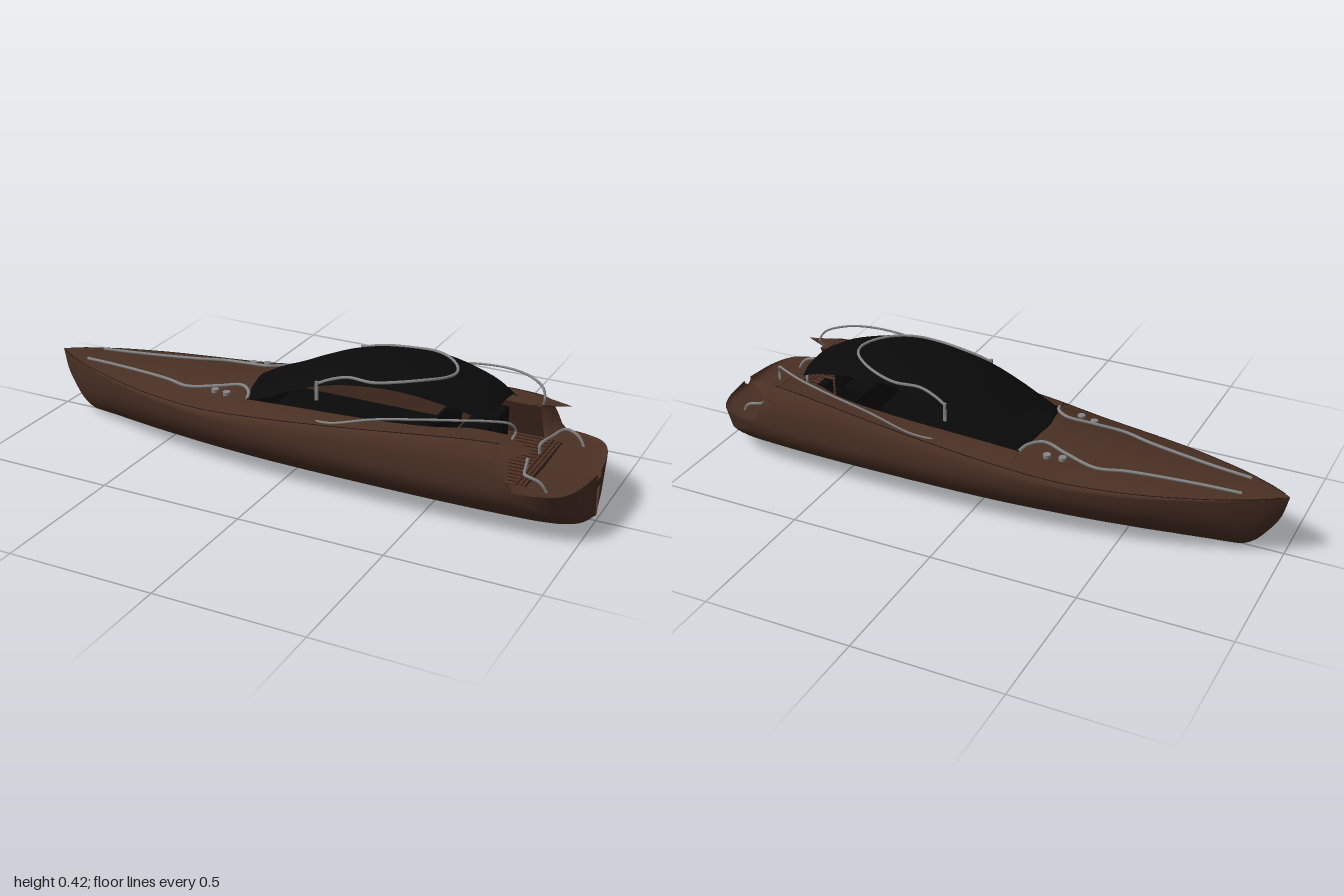
import * as THREE from 'three';
import { ConvexGeometry } from 'three/addons/geometries/ConvexGeometry.js';

const V = (x, y, z) => new THREE.Vector3(x, y, z);

// Smooth interpolation through [x, value] pairs
function table(...p) {
  return (x) => {
    if (x <= p[0][0]) return p[0][1];
    if (x >= p[p.length - 1][0]) return p[p.length - 1][1];
    let i = 0;
    while (x > p[i + 1][0]) i++;
    const slope = (j) => {
      const a = p[Math.max(j - 1, 0)], b = p[Math.min(j + 1, p.length - 1)];
      return (b[1] - a[1]) / (b[0] - a[0]);
    };
    const w = p[i + 1][0] - p[i][0], t = (x - p[i][0]) / w, t2 = t * t, t3 = t2 * t;
    return p[i][1] * (2 * t3 - 3 * t2 + 1) + p[i + 1][1] * (3 * t2 - 2 * t3)
      + w * (slope(i) * (t3 - 2 * t2 + t) + slope(i + 1) * (t3 - t2));
  };
}

// Hull lines along x (bow at -1, stern at +1)
const beam = table([-1, 0], [-0.95, 0.035], [-0.9, 0.063], [-0.8, 0.11], [-0.6, 0.178], [-0.4, 0.222], [-0.2, 0.25],
  [0, 0.265], [0.3, 0.27], [0.6, 0.267], [0.8, 0.257], [0.885, 0.245], [0.95, 0.21], [0.985, 0.13], [1, 0.02]);
const keel = table([-1, 0.205], [-0.98, 0.13], [-0.94, 0.065], [-0.9, 0.02], [-0.85, 0], [0.97, 0], [1, 0.015]);
const widest = table([-1, 0.205], [-0.5, 0.185], [0, 0.175], [0.5, 0.165], [1, 0.165]);
const sheer = table([-1, 0.206], [-0.7, 0.2], [-0.5, 0.197], [-0.3, 0.201], [-0.1, 0.22], [0.1, 0.24], [0.3, 0.26], [0.5, 0.28], [0.65, 0.29], [0.8, 0.289]);
const edgeRatio = table([-1, 0.97], [0, 0.92], [0.5, 0.85], [0.76, 0.76]);
const cut = table([0.74, 0.3], [0.77, 0.235], [0.8, 0.165], [0.84, 0.13], [0.88, 0.108], [0.92, 0.09], [0.96, 0.075], [0.985, 0.055], [1, 0.03]);
const crown = table([-1, 0.206], [-0.8, 0.213], [-0.6, 0.222], [-0.4, 0.238], [-0.18, 0.262], [-0.1, 0.268]);
const sideTop = table([-0.2, 0.24], [0, 0.25], [0.3, 0.264], [0.6, 0.285], [0.8, 0.286]);
const opening = table([-0.2, 0.165], [0.4, 0.165], [0.52, 0.155], [0.62, 0.125], [0.8, 0.12]);
const roofLine = table([-0.185, 0.262], [-0.1, 0.29], [0, 0.335], [0.1, 0.375], [0.2, 0.4], [0.3, 0.412], [0.37, 0.415],
  [0.45, 0.41], [0.55, 0.39], [0.62, 0.37], [0.68, 0.34]);
const roofHalf = table([-0.185, 0.08], [-0.17, 0.125], [-0.14, 0.16], [-0.05, 0.173], [0.1, 0.176], [0.4, 0.172],
  [0.5, 0.163], [0.6, 0.145], [0.68, 0.12]);

const edge = (x) => beam(x) * edgeRatio(x);
const deckY = (x, z) => sheer(x) + (crown(x) - sheer(x)) * Math.sin((1 - Math.min(z / edge(x), 1)) * Math.PI / 2);
function roofY(x, z) {
  const u = Math.min(Math.abs(z) / roofHalf(x), 1);
  return roofLine(x) - 0.02 * u * u - 0.014 * u ** 8;
}

// Half of a hull section, keel to deck edge, trimmed by the stern cut
function hullSection(x) {
  const W = beam(x), k = keel(x), w = widest(x), s = sheer(x), e = edge(x), h = cut(x), pts = [];
  const a = h < w ? Math.acos((w - h) / (w - k)) : Math.PI / 2;
  const b = h < w ? 0 : Math.asin(Math.min(1, (h - w) / Math.max(s - w, 1e-5)));
  for (let i = 0; i <= 14; i++) pts.push(V(x, w - (w - k) * Math.cos(a * i / 14), W * Math.sin(a * i / 14)));
  for (let i = 1; i <= 6; i++) {
    const t = b * i / 6;
    pts.push(V(x, w + (s - w) * Math.sin(t), e + (W - e) * Math.cos(t)));
  }
  return pts;
}

// Skin over rows of points
function loft(rows) {
  const n = rows[0].length, index = [];
  for (let i = 0; i < rows.length - 1; i++) for (let j = 0; j < n - 1; j++) {
    const a = i * n + j, b = a + n;
    index.push(a, b, a + 1, a + 1, b, b + 1);
  }
  const g = new THREE.BufferGeometry().setFromPoints(rows.flat());
  g.setIndex(index);
  g.computeVertexNormals();
  return g;
}
const span = (a, b, n) => Array.from({ length: n + 1 }, (_, i) => a + (b - a) * i / n);

export function createModel() {
  const model = new THREE.Group();
  const material = (name, color) => Object.assign(new THREE.MeshStandardMaterial({ color, side: THREE.DoubleSide }), { name });
  const brown = material('hull brown', 0x4a3024);
  const teak = material('deck teak', 0x4e3023);
  const seam = material('seam dark brown', 0x21150f);
  const black = material('canopy black', 0x0a0a0a);
  const metal = material('rail grey', 0x858585);

  const add = (name, geo, mat) => {
    const m = new THREE.Mesh(geo, mat);
    m.name = name;
    model.add(m);
    return m;
  };
  const box = (name, mat, x0, x1, y0, y1, z0, z1) =>
    add(name, new THREE.BoxGeometry(x1 - x0, y1 - y0, z1 - z0).translate((x0 + x1) / 2, (y0 + y1) / 2, (z0 + z1) / 2), mat);
  // The same rows on both sides of the boat
  const pair = (name, rows, mat) => [1, -1].forEach((s) =>
    add(name, loft(rows.map((r) => r.map((p) => V(p.x, p.y, p.z * s)))), mat));
  const tubePair = (name, pts, r, mat) => [1, -1].forEach((s) => add(name,
    new THREE.TubeGeometry(new THREE.CatmullRomCurve3(pts.map((p) => V(p.x, p.y, p.z * s))), 64, r, 6), mat));

  // Hull
  pair('hull', span(0, 1, 110).map((u) => hullSection(-Math.cos(Math.PI * u))), brown);

  // Foredeck, side decks and inner walls
  const steps = span(0, 1, 10);
  pair('foredeck', span(-1, -0.15, 40).map((x) => steps.map((t) => {
    const z = edge(x) * (1 - t);
    return V(x, z > 0 ? deckY(x, z) : crown(x), z);
  })), brown);
  const sideX = span(-0.15, 0.76, 40);
  pair('sideDeck', sideX.map((x) => steps.map((t) => V(x, sheer(x) + (sideTop(x) - sheer(x)) * Math.sin(t * Math.PI / 2),
    edge(x) + (opening(x) - edge(x)) * t))), brown);
  pair('innerWall', sideX.map((x) => [V(x, sideTop(x), opening(x)), V(x, 0.15, 0.18)]), brown);
  tubePair('deckSeam', span(-0.98, 0.74, 40).map((x) => V(x, sheer(x), edge(x))), 0.0016, seam);

  // Stern well inside the rim
  pair('sternWell', span(0.765, 1, 24).map((x) => {
    const rim = hullSection(x).pop();
    return [rim, V(x, Math.min(rim.y, 0.165) - 0.012, rim.z * 0.82), V(x, Math.min(rim.y, 0.165) - 0.022, 0)];
  }), brown);

  // Wing tips at the end of each side deck
  [1, -1].forEach((s) => add('wingTip', new ConvexGeometry([
    V(0.73, 0.288, 0.12 * s), V(0.73, 0.291, 0.2 * s), V(0.745, 0.25, 0.25 * s), V(0.845, 0.28, 0.185 * s),
    V(0.73, 0.278, 0.13 * s), V(0.73, 0.272, 0.2 * s)]), brown));

  // Cabin interior and cockpit floor
  box('cabinFloor', black, -0.15, 0.48, 0.145, 0.156, -0.178, 0.178);
  box('cabinFront', black, -0.15, -0.14, 0.15, 0.245, -0.165, 0.165);
  box('cabinBulkhead', black, 0.47, 0.48, 0.15, 0.262, -0.16, 0.16);
  [1, -1].forEach((s) => {
    const [a, b] = s > 0 ? [0.03, 0.135] : [-0.135, -0.03];
    box('seat', black, 0.52, 0.62, 0.155, 0.2, a, b);
    box('seatBack', black, 0.62, 0.65, 0.155, 0.262, a, b);
  });
  box('cockpitFloor', teak, 0.48, 0.79, 0.145, 0.155, -0.178, 0.178);
  for (let i = -7; i <= 7; i++) box('plankSeam', seam, 0.65, 0.785, 0.155, 0.156, i * 0.023 - 0.0015, i * 0.023 + 0.0015);

  // Stern steps with plank seams
  [0.176, 0.178, 0.178, 0.17, 0.125].forEach((half, i) => {
    const x = 0.782 + i * 0.039, y = 0.153 - i * 0.0145;
    box('sternStep', teak, x, x + 0.04, y - 0.022, y, -half, half);
    [0.012, 0.026, 0.0385].forEach((d) => box('stepSeam', seam, x + d - 0.0015, x + d + 0.0015, y, y + 0.001, -half, half));
    for (let j = -7; j <= 7; j++) {
      const z = j * 0.023;
      if (Math.abs(z) < half) box('stepRib', seam, x + 0.04, x + 0.041, y - 0.012, y, z - 0.002, z + 0.002);
    }
  });

  // Canopy roof
  add('canopy', loft([...span(-0.185, -0.14, 8), ...span(-0.12, 0.68, 36)].map((x) =>
    span(-1, 1, 32).map((u) => V(x, roofY(x, u * roofHalf(x)), u * roofHalf(x))))), black);

  // Rail on the canopy with its posts
  const half = [[0.11, 0.17], [0.15, 0.16], [0.21, 0.152], [0.3, 0.163], [0.38, 0.146], [0.45, 0.105], [0.5, 0.05]];
  const loop = [...half, [0.515, 0], ...half.map(([x, z]) => [x, -z]).reverse()];
  add('canopyRail', new THREE.TubeGeometry(new THREE.CatmullRomCurve3(
    loop.map(([x, z]) => V(x, roofY(x, z) + 0.003, z))), 100, 0.005, 6), metal);
  [1, -1].forEach((s) => box('canopyPost', metal, 0.105, 0.115, 0.295, 0.36, s * 0.172 - 0.004, s * 0.172 + 0.004));

  // Bow rails and deck fittings
  tubePair('bowRail', [[-0.86, 0.05], [-0.72, 0.064], [-0.5, 0.1], [-0.4, 0.127], [-0.29, 0.108], [-0.21, 0.092], [-0.165, 0.125], [-0.15, 0.165]]
    .map(([x, z]) => V(x, deckY(x, z) + 0.004, z)), 0.006, metal);
  [[-0.29, 0.132], [-0.24, 0.142]].forEach(([x, z]) => [1, -1].forEach((s) =>
    add('deckFitting', new THREE.CylinderGeometry(0.013, 0.013, 0.012, 16).translate(x, deckY(x, z) + 0.003, z * s), metal)));

  // Side rails arching back to the wing tips
  tubePair('sideRail', [V(0.13, 0.245, 0.22), V(0.2, 0.262, 0.243), V(0.35, 0.31, 0.253), V(0.5, 0.339, 0.248), V(0.62, 0.352, 0.225),
    V(0.7, 0.352, 0.19), V(0.755, 0.338, 0.15), V(0.768, 0.31, 0.132), V(0.76, 0.285, 0.145)], 0.0042, metal);

  // Stern handrails
  tubePair('sternRail', [V(0.785, 0.155, 0.06), V(0.785, 0.185, 0.06), V(0.79, 0.192, 0.07), V(0.805, 0.193, 0.13), V(0.82, 0.195, 0.18),
    V(0.835, 0.195, 0.188), V(0.87, 0.182, 0.185), V(0.892, 0.15, 0.18), V(0.9, 0.1, 0.174)], 0.0055, metal);

  return model;
}
